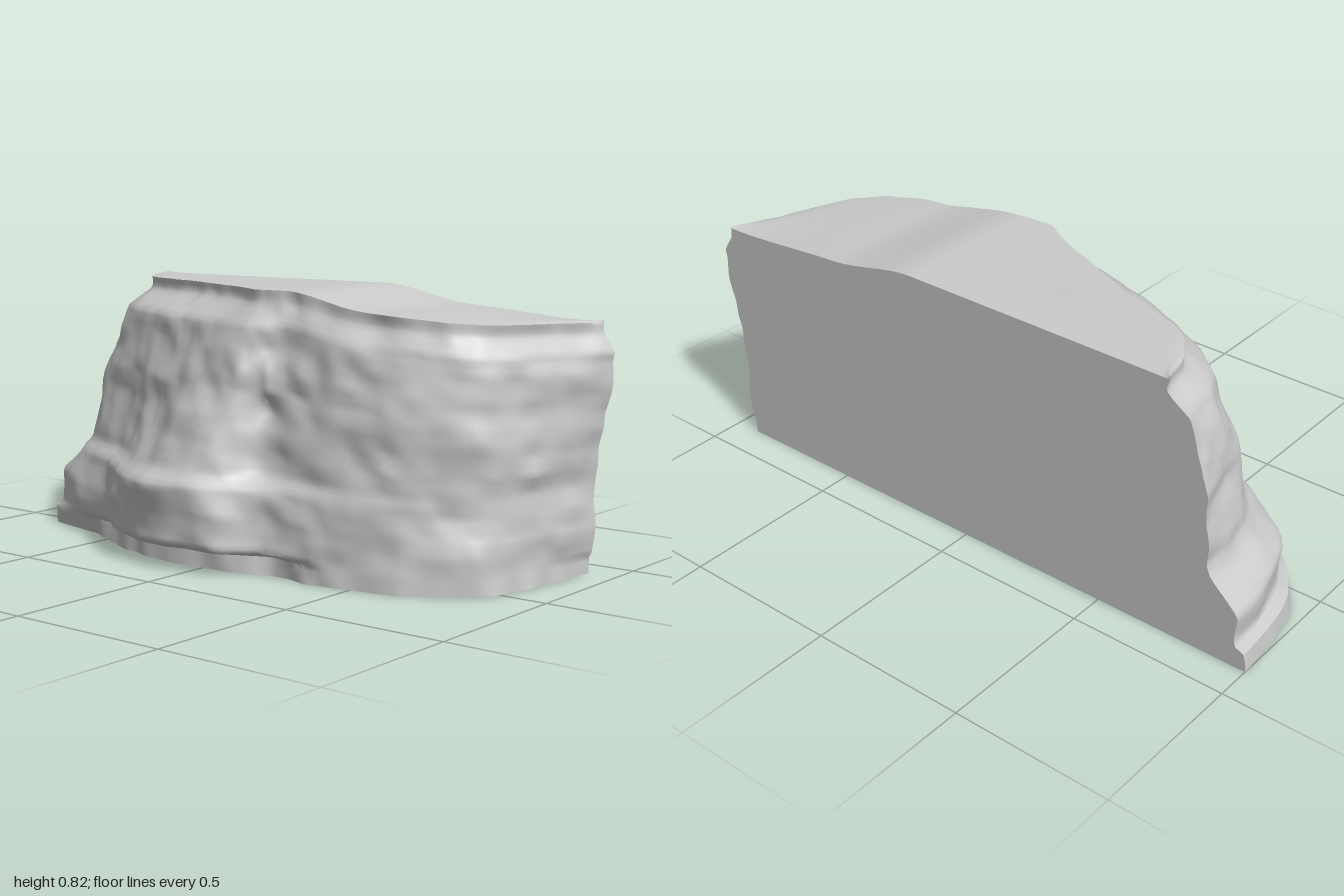
import * as THREE from 'three';
import { mergeVertices, toCreasedNormals } from 'three/addons/utils/BufferGeometryUtils.js';

const BACK = -0.39, COLS = 130, ROWS = 60;

// plan outlines (x, z) from the left end round the front to the right end
const foot = [-1, BACK, -.95, -.1, -.81, .06, -.52, .14, -.33, .23, -.12, .27, .12, .26, .23, .21, .42, .235, .63, .18, .81, .06, .88, -.12, .92, BACK];
const ledge = [-.965, BACK, -.91, -.11, -.78, .06, -.5, .17, -.33, .28, -.15, .355, .1, .345, .22, .25, .42, .235, .63, .18, .81, .06, .88, -.12, .93, BACK];
const ledgeTop = [-.88, BACK, -.84, -.14, -.74, .03, -.49, .16, -.33, .27, -.14, .375, .05, .365, .21, .25, .42, .22, .63, .175, .81, .055, .88, -.12, .925, BACK];
const waist = [-.86, BACK, -.82, -.16, -.72, .0, -.47, .12, -.3, .23, -.13, .32, .04, .335, .19, .22, .41, .205, .63, .165, .81, .055, .88, -.12, .925, BACK];
const middle = [-.865, BACK, -.8, -.18, -.7, -.05, -.45, .07, -.27, .15, -.1, .22, .09, .25, .19, .18, .4, .195, .63, .16, .81, .055, .89, -.12, .95, BACK];
const shoulder = [-.79, BACK, -.74, -.23, -.65, -.11, -.42, .01, -.24, .08, -.07, .14, .1, .19, .22, .15, .4, .16, .63, .125, .8, .035, .89, -.14, .98, BACK];
const crown = [-.72, BACK, -.68, -.27, -.6, -.17, -.37, -.09, -.2, -.02, -.04, .05, .1, .125, .22, .115, .4, .125, .62, .09, .78, .01, .86, -.16, .94, BACK];
const toCurve = (a) => {
  const pts = [];
  for (let i = 0; i < a.length; i += 2) pts.push(new THREE.Vector3(a[i], 0, a[i + 1]));
  return new THREE.CatmullRomCurve3(pts, false, 'catmullrom', 0.4);
};
const levels = [[0, foot], [.055, foot], [.07, ledge], [.17, ledge], [.255, ledgeTop], [.29, waist], [.5, middle], [.72, shoulder], [.78, crown], [.82, crown]]
  .map(([y, a]) => ({ y, curve: toCurve(a) }));

// seeded value noise, range -1..1
const hash = (x, y, z) => {
  let h = Math.imul(x, 374761393) ^ Math.imul(y, 668265263) ^ Math.imul(z, 1440662683);
  h = Math.imul(h ^ (h >>> 13), 1274126177);
  h = Math.imul(h ^ (h >>> 15), 2246822519);
  return ((h ^ (h >>> 16)) >>> 0) / 2147483648 - 1;
};
function noise(x, y, z) {
  const c = [x, y, z].map(Math.floor);
  const [u, v, w] = [x - c[0], y - c[1], z - c[2]];
  const L = THREE.MathUtils.lerp;
  const row = (j, k) => L(hash(c[0], c[1] + j, c[2] + k), hash(c[0] + 1, c[1] + j, c[2] + k), u);
  return L(L(row(0, 0), row(1, 0), v), L(row(0, 1), row(1, 1), v), w);
}

// height of the top surface relative to the crown level
const topScale = (x) => 1 - 0.06 * THREE.MathUtils.smoothstep(x, 0.18, 0.5) - 0.04 * THREE.MathUtils.smoothstep(x, 0.4, 0.95);

// point on the weathered face: u runs along the outline, y is the height
function facePoint(u, y) {
  let k = 0;
  while (k < levels.length - 2 && y > levels[k + 1].y) k++;
  const a = levels[k], b = levels[k + 1];
  const p = a.curve.getPoint(u).lerp(b.curve.getPoint(u), (y - a.y) / (b.y - a.y));
  const out = new THREE.Vector2(p.x * 0.6, p.z - BACK + 0.05).normalize();
  const strata = noise(p.x * 4, y * 13, p.z * 4 + 7);
  const lumps = noise(p.x * 8 + 20, y * 9, p.z * 8);
  const chips = noise(p.x * 17, y * 17 + 40, p.z * 17);
  // rough broken rib beside the step in the face
  const rib = Math.exp(-(((p.x - 0.16) / 0.09) ** 2)) * THREE.MathUtils.smoothstep(y, 0.25, 0.35);
  const d = 0.009 * strata + 0.011 * lumps + (0.009 + 0.014 * rib) * chips;
  p.x = THREE.MathUtils.clamp(p.x + out.x * d, -1, 1);
  p.z = Math.min(0.385, p.z + out.y * d * THREE.MathUtils.clamp((p.z - BACK) / 0.1, 0, 1));
  // beds wander up and down between the foot and the crown
  p.y = (y + 0.01 * noise(p.x * 6, 9, p.z * 6) * Math.sin(Math.PI * y / 0.82)) * topScale(p.x);
  return p;
}

// triangulated grid of points given by a rule (i, j) -> Vector3
function gridGeometry(cols, rows, point, flip) {
  const pos = [], idx = [];
  for (let j = 0; j <= rows; j++) for (let i = 0; i <= cols; i++) pos.push(...point(i, j).toArray());
  for (let j = 0; j < rows; j++) for (let i = 0; i < cols; i++) {
    const a = j * (cols + 1) + i, b = a + 1, c = a + cols + 1, d = c + 1;
    idx.push(...(flip ? [a, c, b, b, c, d] : [a, b, c, b, d, c]));
  }
  const g = new THREE.BufferGeometry();
  g.setAttribute('position', new THREE.Float32BufferAttribute(pos, 3));
  g.setIndex(idx);
  return toCreasedNormals(mergeVertices(g), 0.9);
}

export function createModel() {
  const group = new THREE.Group();
  group.name = 'rockLedge';
  const material = new THREE.MeshStandardMaterial({ color: 0xcccccc, roughness: 0.9, side: THREE.DoubleSide });
  const add = (name, geometry) => {
    const mesh = new THREE.Mesh(geometry, material);
    mesh.name = name;
    group.add(mesh);
  };

  const face = [];
  for (let j = 0; j <= ROWS; j++) {
    const row = [];
    for (let i = 0; i <= COLS; i++) row.push(facePoint(i / COLS, 0.815 * j / ROWS));
    face.push(row);
  }
  const onBack = (p) => new THREE.Vector3(p.x, p.y, BACK);

  // layered front and sides, rolling over into the gently uneven top
  const TOP = 14;
  add('weatheredFaceAndTop', gridGeometry(COLS, ROWS + TOP, (i, j) => {
    if (j <= ROWS) return face[j][i];
    const t = (j - ROWS) / TOP;
    const p = face[ROWS][i].clone().lerp(onBack(face[ROWS][i]), t);
    p.y += (0.004 + 0.005 * noise(p.x * 4, 3, p.z * 4)) * Math.sin(Math.PI * t);
    return p;
  }, false));
  // flat back cut to the same silhouette
  add('flatBack', gridGeometry(COLS, ROWS, (i, j) => onBack(face[j][i]), true));
  // flat underside
  add('underside', gridGeometry(COLS, 1, (i, j) => (j ? onBack(face[0][i]) : face[0][i].clone()), true));
  return group;
}
